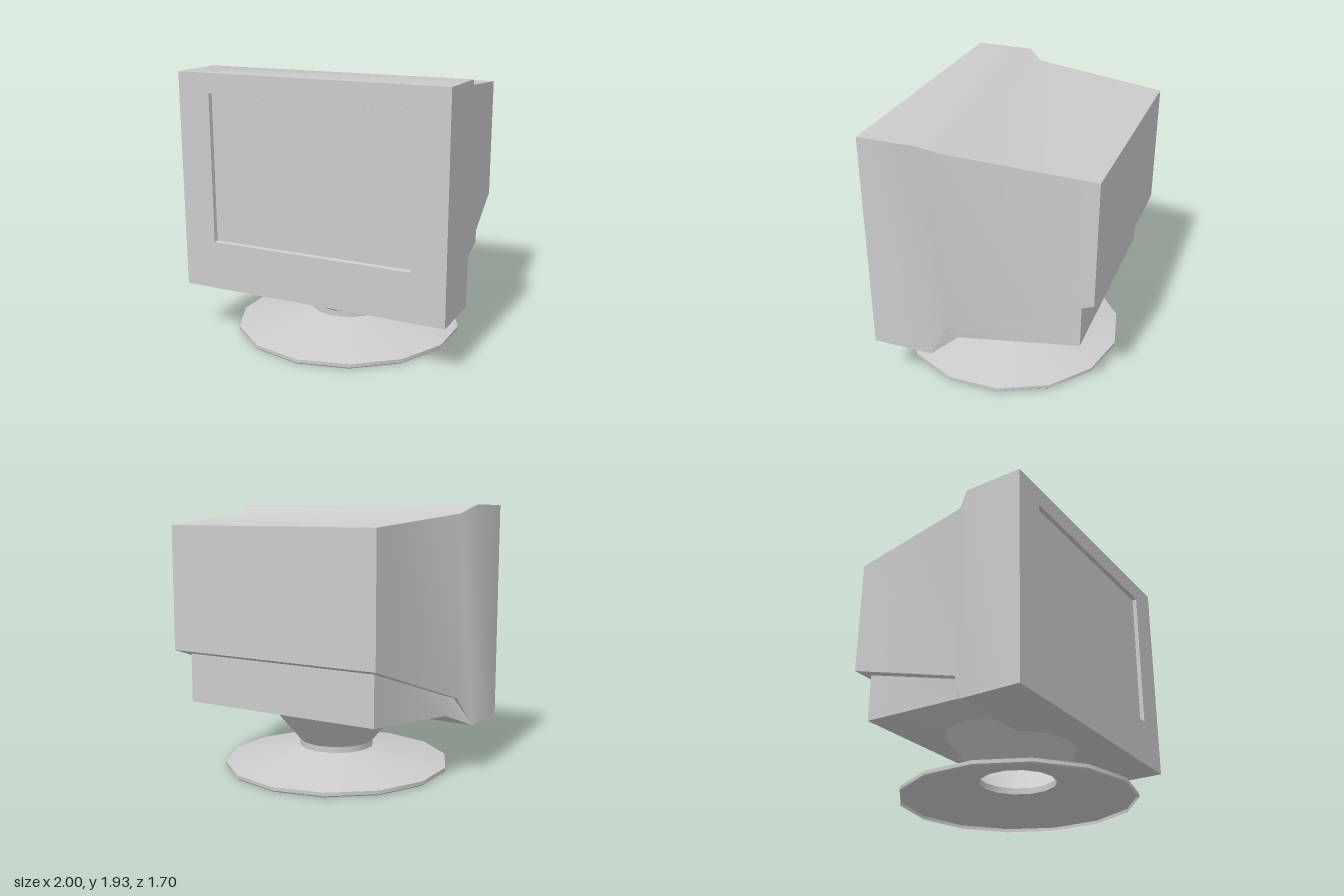
import * as THREE from 'three';
import { toCreasedNormals } from 'three/addons/utils/BufferGeometryUtils.js';

// Loft rectangular cross-sections [halfWidth, bottom, top, z], listed from back to front
function loft(rings, capBack, capFront) {
  const pos = [], idx = [];
  for (const [w, y0, y1, z] of rings) pos.push(w, y0, z, w, y1, z, -w, y1, z, -w, y0, z);
  const quad = (a, b, c, d) => idx.push(a, b, c, a, c, d);
  for (let i = 0; i < rings.length - 1; i++) {
    for (let j = 0; j < 4; j++) {
      const k = (j + 1) % 4, a = i * 4, b = a + 4;
      quad(a + j, a + k, b + k, b + j);
    }
  }
  if (capBack) quad(0, 3, 2, 1);
  const e = (rings.length - 1) * 4;
  if (capFront) quad(e, e + 1, e + 2, e + 3);
  const geo = new THREE.BufferGeometry();
  geo.setAttribute('position', new THREE.Float32BufferAttribute(pos, 3));
  geo.setIndex(idx);
  return toCreasedNormals(geo, 0.8);
}

export function createModel() {
  const group = new THREE.Group();
  const grey = new THREE.MeshStandardMaterial({ color: 0xcccccc });
  const thin = new THREE.MeshStandardMaterial({ color: 0xcccccc, side: THREE.DoubleSide });
  const add = (name, geo, mat = grey) => {
    const mesh = new THREE.Mesh(geo, mat);
    mesh.name = name;
    group.add(mesh);
    return mesh;
  };

  // Casing: tapered back, chamfer, deep front frame and screen recess
  add('casing', loft([
    [0.815, 0.91, 1.79, -0.85],
    [0.925, 0.58, 1.87, 0.13],
    [1, 0.37, 1.93, 0.24],
    [1, 0.37, 1.93, 0.67],
    [0.755, 0.72, 1.79, 0.67],
    [0.75, 0.725, 1.785, 0.64],
  ], true, false));

  // Flat screen at the bottom of the recess
  const screen = add('screen', new THREE.PlaneGeometry(1.5, 1.06));
  screen.position.set(0, 1.255, 0.64);

  // Narrower lower housing, its top tucked inside the casing
  add('lowerHousing', loft([
    [0.75, 0.525, 0.94, -0.75],
    [0.86, 0.45, 0.65, 0.09],
    [1, 0.37, 0.6, 0.24],
  ], true, false));

  // Hollow stand: rim, sloping foot, collar and flared neck
  const profile = [
    [0.825, 0], [0.835, 0.01], [0.835, 0.035], [0.275, 0.145],
    [0.275, 0.19], [0.535, 0.5],
  ].map(([r, y]) => new THREE.Vector2(r, y));
  const stand = add('stand', toCreasedNormals(new THREE.LatheGeometry(profile, 14), 0.6), thin);
  stand.position.z = 0.015;

  return group;
}
